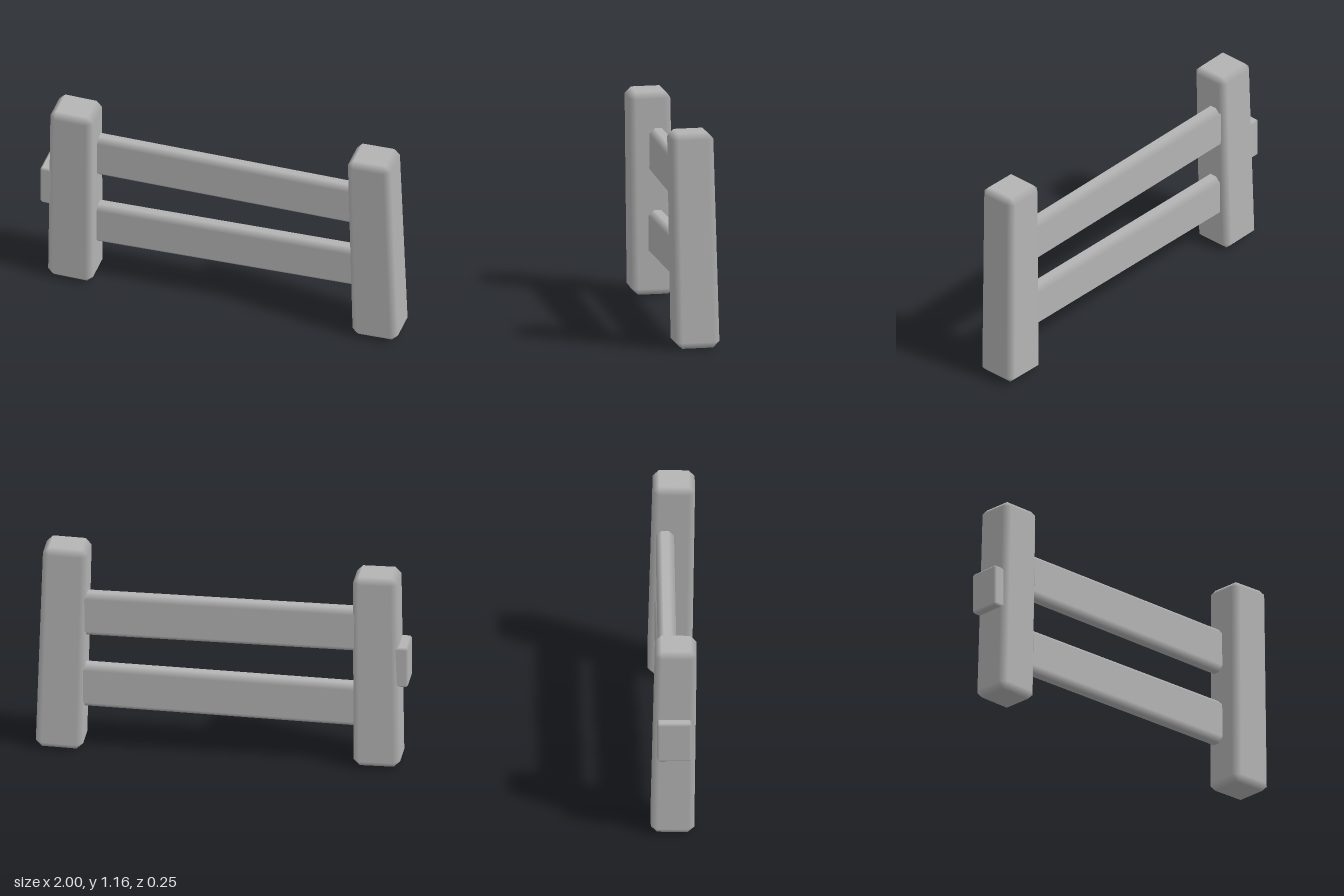
import * as THREE from 'three';
import { ConvexGeometry } from 'three/addons/geometries/ConvexGeometry.js';

// Box with one soft chamfer on every edge; faces keep flat normals and
// the chamfers blend between them. Optional taper narrows it towards the top.
function chamferBox(w, h, d, c, taper = 0) {
  const half = [w / 2, h / 2, d / 2];
  const points = [];
  for (let axis = 0; axis < 3; axis++) {
    for (const sx of [-1, 1]) for (const sy of [-1, 1]) for (const sz of [-1, 1]) {
      const p = [sx, sy, sz].map((s, i) => s * (i === axis ? half[i] : half[i] - c));
      points.push(new THREE.Vector3(...p));
    }
  }
  const geo = new ConvexGeometry(points);
  const pos = geo.attributes.position;
  const nor = geo.attributes.normal;
  for (let i = 0; i < pos.count; i++) {
    const p = [pos.getX(i), pos.getY(i), pos.getZ(i)];
    nor.setXYZ(i, ...p.map((v, a) => (Math.abs(v) > half[a] - c / 2 ? Math.sign(v) : 0)));
    const k = 1 - taper * p[1] / half[1];
    pos.setXYZ(i, p[0] * k, p[1], p[2] * k);
  }
  return geo;
}

export function createModel() {
  const model = new THREE.Group();
  const grey = new THREE.MeshStandardMaterial({ color: 0xb4b4b4 });
  grey.name = 'plain grey';

  function add(name, geometry, position, rotation = [0, 0, 0]) {
    const mesh = new THREE.Mesh(geometry, grey);
    mesh.name = name;
    mesh.position.set(...position);
    mesh.rotation.set(...rotation);
    model.add(mesh);
  }

  // Leaning posts
  add('rightPost', chamferBox(0.245, 1.095, 0.226, 0.034, 0.025), [-0.828, 0.553, -0.002], [0.018, 0, -0.011]);
  add('leftPost', chamferBox(0.247, 1.157, 0.23, 0.034, 0.03), [0.856, 0.584, 0.003], [0.02, 0, 0.025]);

  // Rails running into both posts
  add('upperRail', chamferBox(1.62, 0.248, 0.096, 0.03), [0.01, 0.784, -0.034], [0, 0, 0.001]);
  add('lowerRail', chamferBox(1.62, 0.246, 0.098, 0.03), [0.01, 0.356, -0.036], [0, 0.007, 0.02]);

  // Small block on the outer side of the shorter post
  add('sideBlock', chamferBox(0.12, 0.23, 0.182, 0.012), [-0.94, 0.59, -0.002]);

  return model;
}
